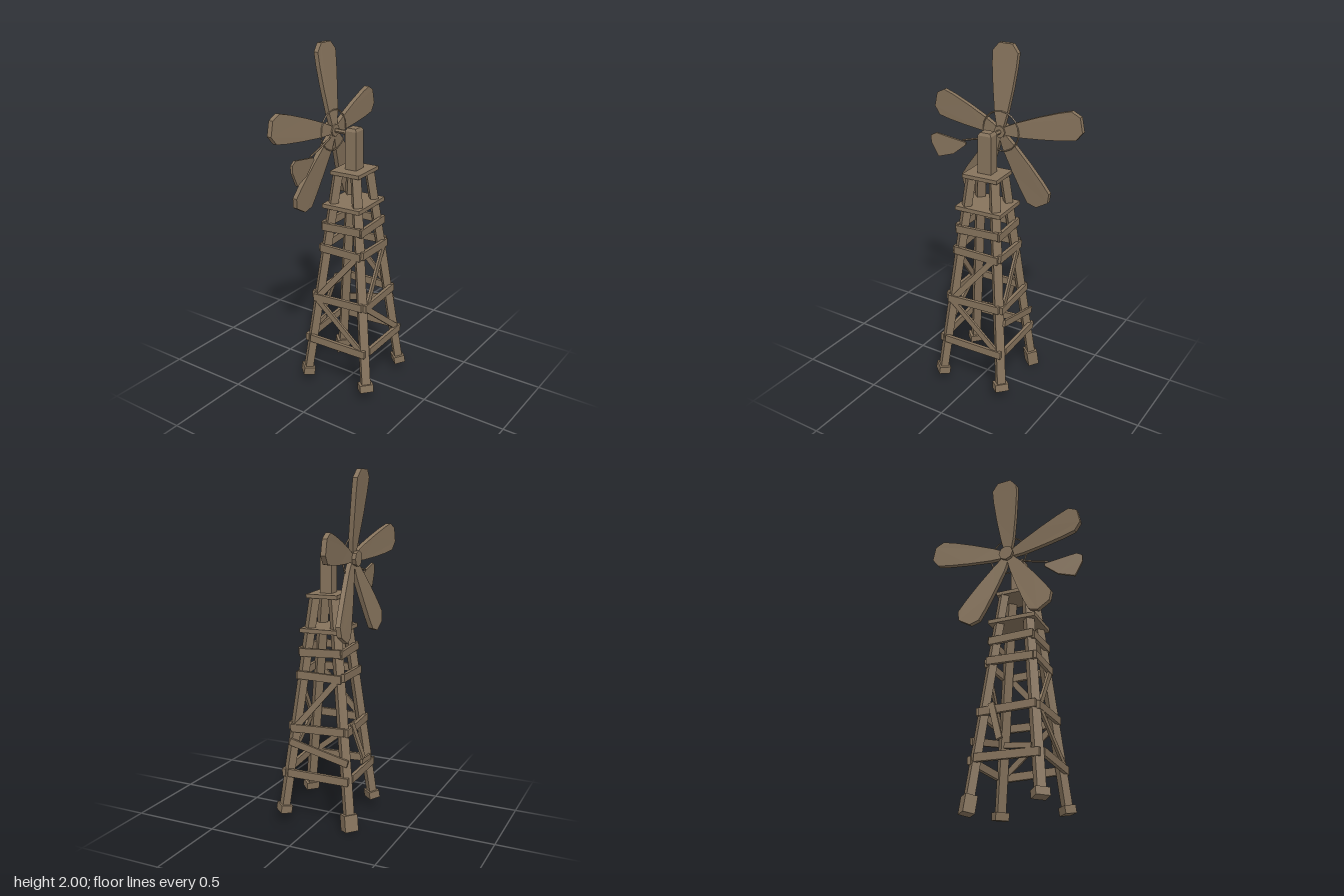
import * as THREE from 'three';

const wood = new THREE.MeshStandardMaterial({ color: 0x86735c, flatShading: true, side: THREE.DoubleSide });
const V = (x, y, z) => new THREE.Vector3(x, y, z);

function add(parent, name, geometry, x = 0, y = 0, z = 0) {
  const mesh = new THREE.Mesh(geometry, wood);
  mesh.name = name;
  mesh.position.set(x, y, z);
  parent.add(mesh);
  return mesh;
}

// Box running from a to b, with its thickness facing along "out"
function beam(parent, name, a, b, width, thick, out) {
  const x = b.clone().sub(a);
  const mesh = add(parent, name, new THREE.BoxGeometry(x.length(), width, thick));
  x.normalize();
  const y = out.clone().cross(x).normalize();
  const z = x.clone().cross(y);
  mesh.quaternion.setFromRotationMatrix(new THREE.Matrix4().makeBasis(x, y, z));
  mesh.position.copy(a).add(b).multiplyScalar(0.5);
}

// Leg centre lines: half spacing in x and z at height y
const halfX = y => 0.058 + (1.3 - y) * 0.116;
const halfZ = y => 0.073 + (1.3 - y) * 0.101;

// Point on a tower side: u runs across the side, d points outwards
const sides = [
  { name: 'front', across: halfX, depth: halfZ, at: (u, y, d) => V(u, y, d) },
  { name: 'right', across: halfZ, depth: halfX, at: (u, y, d) => V(d, y, -u) },
  { name: 'back', across: halfX, depth: halfZ, at: (u, y, d) => V(-u, y, -d) },
  { name: 'left', across: halfZ, depth: halfX, at: (u, y, d) => V(-d, y, u) },
];

// Horizontal planks: height, overhang past the legs, sideways shift
const planks = [[0.295, 0.008, 0.014], [0.565, 0.018, 0], [0.865, 0.022, 0], [1.0, 0.03, 0]];

// Flat shape in the z/y plane given as [z, y] points, extruded along x
function plate(points, thick) {
  const shape = new THREE.Shape(points.map(p => new THREE.Vector2(-p[0], p[1])));
  const geometry = new THREE.ExtrudeGeometry(shape, { depth: thick, bevelEnabled: false });
  return geometry.translate(0, 0, -thick / 2).rotateY(Math.PI / 2);
}

function buildTower() {
  const tower = new THREE.Group();
  tower.name = 'tower';
  tower.rotation.y = 0.06;

  // Four splayed legs with block feet; the back one at -x is longer
  for (const sx of [-1, 1]) for (const sz of [-1, 1]) {
    const long = sx < 0 && sz < 0;
    const point = y => V(sx * halfX(y), y, sz * halfZ(y));
    const out = V(sx, 0, sz);
    beam(tower, 'leg', point(long ? 0.03 : 0.07), point(1.303), 0.05, 0.045, out);
    beam(tower, 'foot', point(long ? 0.006 : 0.056), point(0.1), 0.08, 0.066, out);
  }

  for (const side of sides) {
    const out = side.at(0, 0, 1);
    planks.forEach(([y, overhang, shift], i) => {
      const u = side.across(y) + overhang, d = side.depth(y) + 0.028;
      const skew = (i % 2 ? 1 : -1) * 0.004;
      beam(tower, side.name + 'Plank', side.at(shift - u, y - skew, d), side.at(shift + u, y + skew, d), 0.045, 0.02, out);
    });
    // Diagonal braces in two tiers
    const brace = (u0, y0, u1, y1) => beam(tower, side.name + 'Brace',
      side.at(u0, y0, side.depth(y0) + 0.026), side.at(u1, y1, side.depth(y1) + 0.026), 0.034, 0.014, out);
    if (side.name !== 'left') brace(-0.13, 0.57, 0.12, 0.87);
    if (side.name === 'front' || side.name === 'right') brace(-0.15, 0.56, 0.16, 0.31);
  }

  // Loose braces that have slipped or hang from one end
  beam(tower, 'slippedBrace', V(-0.19, 0.395, -0.195), V(0.16, 0.485, -0.195), 0.04, 0.014, V(0, 0, -1));
  beam(tower, 'hangingBrace', V(-0.175, 0.6, -0.09), V(-0.22, 0.38, -0.02), 0.035, 0.014, V(-1, 0, 0));
  beam(tower, 'brokenBrace', V(-0.2, 0.33, 0.15), V(-0.2, 0.345, 0), 0.03, 0.014, V(-1, 0, 0));

  // Platforms and the head post with a chamfered cap
  add(tower, 'lowerPlatform', new THREE.BoxGeometry(0.24, 0.024, 0.285), 0, 1.122, 0);
  add(tower, 'upperPlatform', new THREE.BoxGeometry(0.185, 0.022, 0.215), 0.004, 1.312, 0);
  add(tower, 'headPost', new THREE.BoxGeometry(0.07, 0.22, 0.082), 0.004, 1.43, 0);
  const cap = new THREE.CylinderGeometry(0.75, 1, 1, 4).rotateY(Math.PI / 4);
  cap.scale(0.07 / Math.SQRT2, 0.016, 0.082 / Math.SQRT2);
  add(tower, 'postCap', cap, 0.004, 1.548, 0);
  return tower;
}

function buildRotor() {
  const rotor = new THREE.Group();
  rotor.name = 'rotor';
  rotor.position.set(-0.14, 1.52, 0);

  // Five unevenly spaced blades sweeping away from the tower towards the tips
  const half = [[0.02, 0.02], [0.04, 0.1], [0.062, 0.24], [0.076, 0.36], [0.08, 0.435], [0.042, 0.48]];
  const outline = [...half, ...half.map(([z, y]) => [-z, y]).reverse()];
  for (const degrees of [0, 78, 149, -149, -78]) {
    const blade = plate(outline, 0.028);
    const p = blade.attributes.position;
    for (let k = 0; k < p.count; k++) {
      const t = Math.max(0, (p.getY(k) - 0.05) / 0.43);
      p.setX(k, p.getX(k) - 0.055 * Math.pow(t, 0.9));
    }
    blade.computeVertexNormals();
    add(rotor, 'blade', blade).rotation.x = THREE.MathUtils.degToRad(degrees);
  }

  add(rotor, 'hub', new THREE.CylinderGeometry(0.045, 0.035, 0.06, 8).rotateZ(Math.PI / 2), -0.01, 0, 0);
  add(rotor, 'shaft', new THREE.CylinderGeometry(0.013, 0.013, 0.14, 6).rotateZ(Math.PI / 2), 0.06, 0, 0);
  add(rotor, 'braceRing', new THREE.TorusGeometry(0.115, 0.005, 4, 20).rotateY(Math.PI / 2), 0.002, 0, 0);
  return rotor;
}

function buildVane() {
  const vane = new THREE.Group();
  vane.name = 'vane';
  // Thin bent rod carrying a leaf-shaped paddle
  const rod = new THREE.CatmullRomCurve3([V(-0.135, 1.49, 0.02), V(-0.128, 1.465, 0.1), V(-0.115, 1.43, 0.24)]);
  add(vane, 'vaneRod', new THREE.TubeGeometry(rod, 6, 0.006, 5));
  const leaf = plate([[-0.115, 0.035], [0, 0.055], [0.075, 0.068], [0.108, 0.05],
    [0.108, 0.01], [0.062, -0.075], [-0.035, -0.045], [-0.115, 0.02]], 0.014);
  add(vane, 'vanePaddle', leaf, -0.1, 1.385, 0.332).rotation.y = 0.13;
  return vane;
}

export function createModel() {
  const model = new THREE.Group();
  model.name = 'windmill';
  model.add(buildTower(), buildRotor(), buildVane());
  return model;
}
